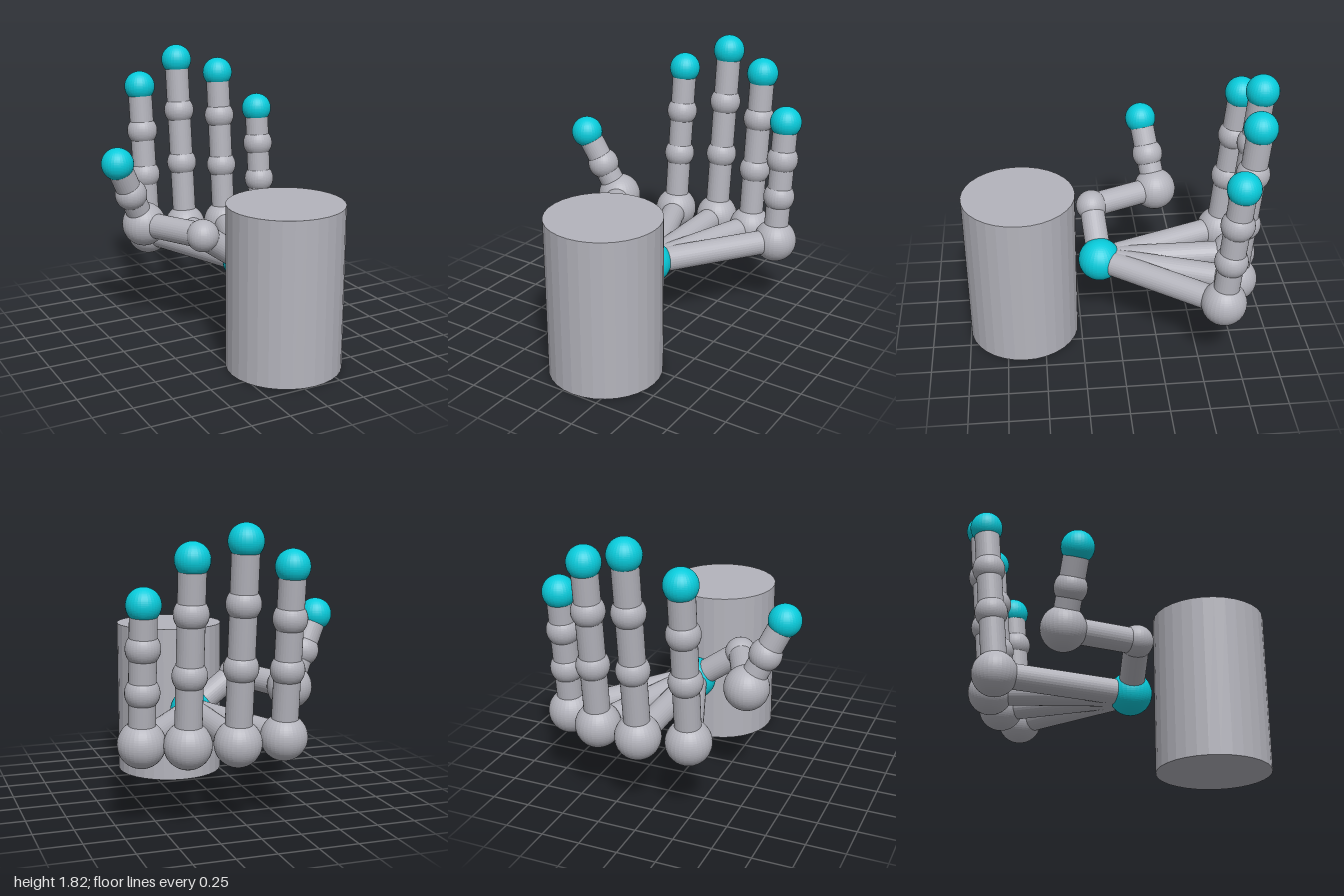
import * as THREE from 'three';

export function createModel() {
  const model = new THREE.Group();
  const grey = new THREE.MeshStandardMaterial({ color: 0xb4b4bc, flatShading: true });
  grey.name = 'grey';
  const cyan = new THREE.MeshStandardMaterial({ color: 0x08cbdb, flatShading: true });
  cyan.name = 'cyan';

  const BONE = 0.082, JOINT = 0.105, KNUCKLE = 0.145;
  const v = (x, y, z) => new THREE.Vector3(x, y, z);
  const up = v(0, 1, 0);

  function ball(parent, name, p, r, mat = grey) {
    const m = new THREE.Mesh(new THREE.SphereGeometry(r, 32, 32), mat);
    m.position.copy(p);
    m.name = name;
    parent.add(m);
  }

  // Cylinder running between two points
  function bone(parent, name, a, b) {
    const dir = b.clone().sub(a);
    const m = new THREE.Mesh(new THREE.CylinderGeometry(BONE, BONE, dir.length(), 32), grey);
    m.position.copy(a).lerp(b, 0.5);
    m.quaternion.setFromUnitVectors(up, dir.normalize());
    m.name = name;
    parent.add(m);
  }

  // Knuckle, straight run of phalanges with joints at the given fractions, cyan tip
  function digit(parent, knuckle, tip, fractions) {
    ball(parent, 'knuckle', knuckle, KNUCKLE);
    let last = knuckle;
    for (const f of fractions) {
      const p = knuckle.clone().lerp(tip, f);
      bone(parent, 'phalanx', last, p);
      ball(parent, 'joint', p, JOINT);
      last = p;
    }
    bone(parent, 'phalanx', last, tip);
    ball(parent, 'fingertip', tip, JOINT, cyan);
  }

  // Held upright cylinder
  const can = new THREE.Mesh(new THREE.CylinderGeometry(0.365, 0.365, 1.05, 32), grey);
  can.position.set(0.07, 0.525, 0.635);
  can.name = 'cylinder';
  model.add(can);

  // Wrist
  const wrist = v(0.07, 0.525, 0.115);
  ball(model, 'wrist', wrist, 0.141, cyan);

  // Four fingers: x, knuckle z, tip y, tip z, joint fractions
  const fingers = [
    ['indexFinger', -0.243, -0.735, 1.56, -0.836, [0.405, 0.703]],
    ['middleFinger', 0.07, -0.785, 1.717, -0.9, [0.385, 0.7]],
    ['ringFinger', 0.364, -0.738, 1.615, -0.835, [0.385, 0.716]],
    ['littleFinger', 0.614, -0.626, 1.354, -0.703, [0.378, 0.694]],
  ];
  for (const [name, x, kz, ty, tz, fractions] of fingers) {
    const g = new THREE.Group();
    g.name = name;
    const knuckle = v(x, 0.525, kz);
    bone(g, 'metacarpal', wrist, knuckle);
    digit(g, knuckle, v(x, ty, tz), fractions);
    model.add(g);
  }

  // Thumb, reaching sideways through a base joint
  const thumb = new THREE.Group();
  thumb.name = 'thumb';
  const base = v(-0.246, 0.752, 0.145);
  const knuckle = v(-0.455, 0.737, -0.312);
  bone(thumb, 'thumbRoot', wrist, base);
  ball(thumb, 'thumbBase', base, JOINT);
  bone(thumb, 'metacarpal', base, knuckle);
  digit(thumb, knuckle, v(-0.664, 1.187, -0.23), [0.5]);
  model.add(thumb);

  return model;
}
